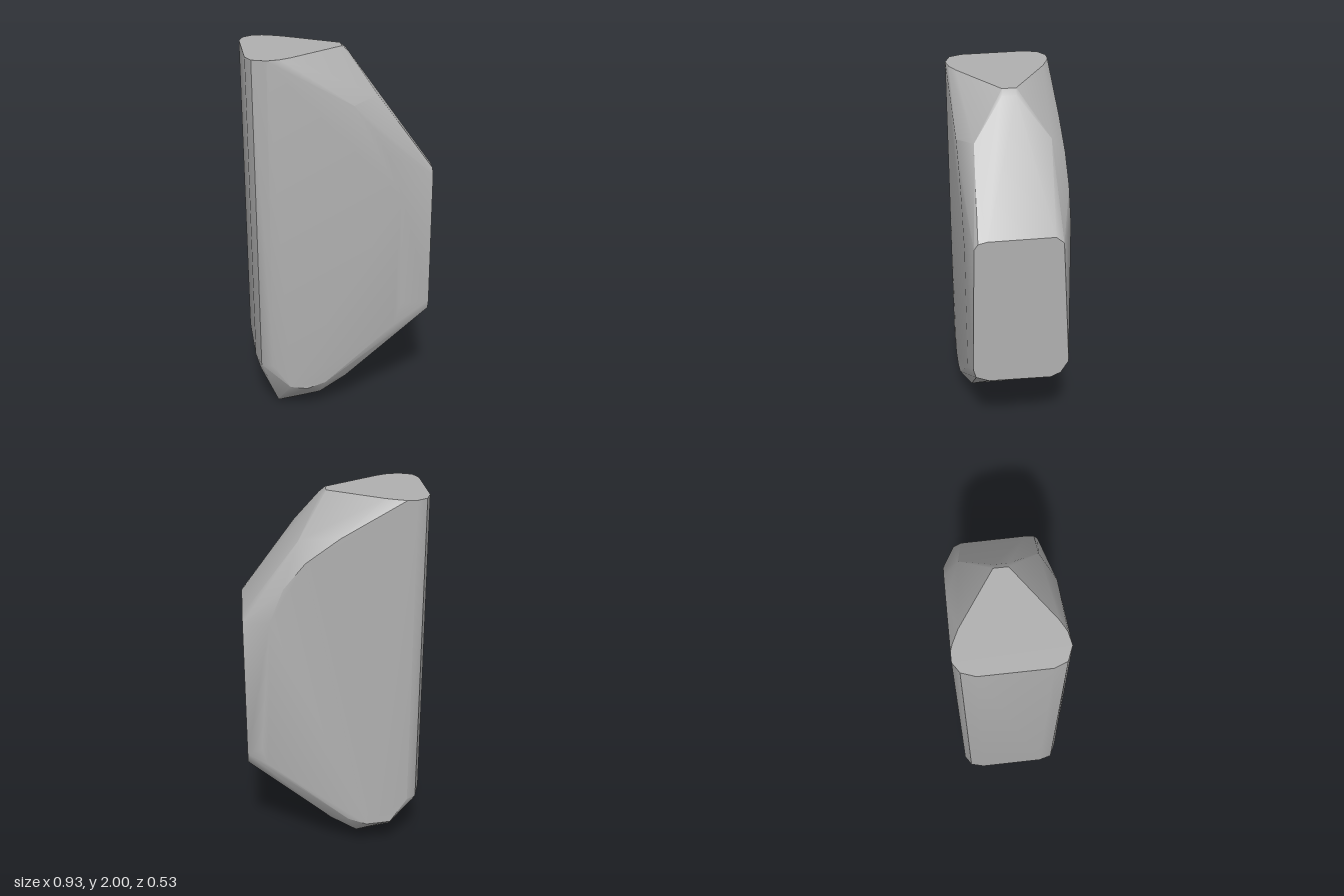
import * as THREE from 'three';
import { ConvexGeometry } from 'three/addons/geometries/ConvexGeometry.js';
import { toCreasedNormals } from 'three/addons/utils/BufferGeometryUtils.js';

export function createModel() {
  const group = new THREE.Group();
  group.name = 'rock';
  const stone = new THREE.MeshStandardMaterial({ color: 0xb0b0b0 });
  stone.name = 'grey stone';

  const points = [];
  const add = (x, y, z) => points.push(new THREE.Vector3(x, y, z));

  // flat top, as x, z
  [[-0.465, -0.165], [-0.44, -0.233], [-0.39, -0.265], [-0.34, -0.265], [-0.305, -0.253],
    [-0.24, -0.222], [0.03, -0.04], [0.03, 0.03], [-0.25, 0.222], [-0.305, 0.25],
    [-0.37, 0.262], [-0.44, 0.233], [-0.465, 0.17]].forEach(([x, z]) => add(x, 2, z));

  // flat end, as y, z
  [[1.41, 0.17], [1.4, 0.215], [1.37, 0.235], [0.65, 0.25], [0.6, 0.237], [0.57, 0.17],
    [0.555, -0.16], [0.58, -0.21], [0.65, -0.25], [1.37, -0.205], [1.405, -0.165],
  ].forEach(([y, z]) => add(0.465, y, z));

  // broad front face, as x, y
  [[0.05, 1.76], [0.14, 1.65], [0.22, 1.5], [0.3, 1.27], [0.31, 0.65], [0.27, 0.52],
    [-0.1, 0.2], [-0.2, 0.17], [-0.29, 0.19], [-0.38, 0.33]].forEach(([x, y]) => add(x, y, 0.262));

  // broad back face, as x, y
  [[-0.02, 1.82], [0.15, 1.7], [0.26, 1.57], [0.33, 1.4], [0.39, 0.68], [0.36, 0.59],
    [-0.07, 0.22], [-0.17, 0.18], [-0.3, 0.19], [-0.39, 0.33]].forEach(([x, y]) => add(x, y, -0.265));

  // upper slope, lower slope and narrow left side, near-symmetric front to back
  for (const s of [-1, 1]) {
    add(0.06, 1.975, s * 0.035);
    add(0.18, 1.79, s * 0.19);
    add(0.02, 0.2, s * 0.21);
    add(-0.12, 0.105, s * 0.2);
    add(-0.465, 0.36, s * 0.165);
    add(-0.44, 0.27, s * 0.17);
    add(-0.44, 0.33, s * 0.233);
  }

  // blunt foot
  [[-0.34, 0.09], [-0.34, 0], [-0.26, 0.08], [-0.26, -0.01]].forEach(([x, z]) => add(x, 0, z));

  const body = new THREE.Mesh(toCreasedNormals(new ConvexGeometry(points), 0.6), stone);
  body.name = 'rockBody';
  group.add(body);
  return group;
}
